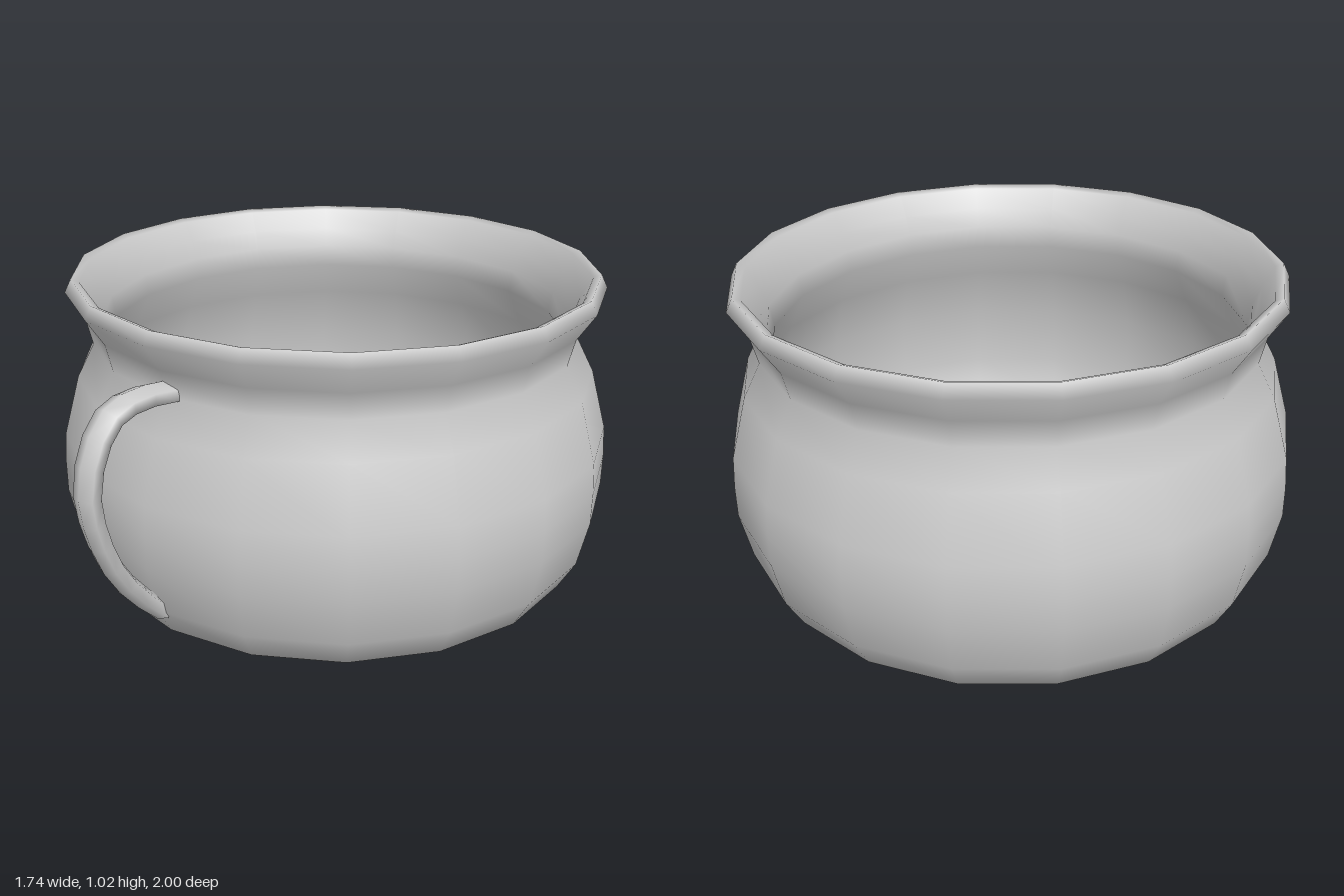
import * as THREE from 'three';

const material = new THREE.MeshStandardMaterial({ color: 0xcccccc });
const POT_Z = -0.115;

// Round pot: floor, belly, neck, flared rim, then back down the inside
function createPot() {
  const profile = [
    [0, 0], [0.69, 0], [0.80, 0.075], [0.853, 0.17], [0.885, 0.32], [0.885, 0.42],
    [0.878, 0.52], [0.825, 0.71], [0.77, 0.815], [0.79, 0.9], [0.845, 0.985],
    [0.825, 1.025], [0.80, 1.015], [0.765, 0.95], [0.74, 0.89], [0.73, 0.82],
    [0.785, 0.7], [0.84, 0.52], [0.845, 0.32], [0.815, 0.18], [0.76, 0.1],
    [0.66, 0.045], [0, 0.04],
  ].map(([r, y]) => new THREE.Vector2(r, y));
  const pot = new THREE.Mesh(new THREE.LatheGeometry(profile, 18), material);
  pot.name = 'pot';
  pot.position.z = POT_Z;
  return pot;
}

// Tapered six-sided handle swept along a curve in the x = 0 plane
function createHandle() {
  const path = new THREE.CatmullRomCurve3([
    [0.83, 0.65], [0.845, 0.78], [0.825, 0.87], [0.745, 0.935], [0.625, 0.965],
    [0.51, 0.945], [0.39, 0.9], [0.27, 0.82], [0.16, 0.715],
  ].map(([y, z]) => new THREE.Vector3(0, y, z)));
  const steps = 12, sides = 6;
  const positions = [], index = [];

  const addRing = (t) => {
    const p = path.getPoint(t), d = path.getTangent(t);
    const halfX = THREE.MathUtils.lerp(0.052, 0.036, t);
    const halfOut = THREE.MathUtils.lerp(0.034, 0.03, t);
    for (let j = 0; j < sides; j++) {
      const a = (j / sides) * Math.PI * 2;
      const out = Math.cos(a) * halfOut;
      // (d.z, -d.y) points away from the pot
      positions.push(Math.sin(a) * halfX, p.y + d.z * out, p.z - d.y * out);
    }
  };

  for (let i = 0; i <= steps; i++) addRing(i / steps);
  for (let i = 0; i < steps; i++) {
    for (let j = 0; j < sides; j++) {
      const a = i * sides + j, b = i * sides + ((j + 1) % sides);
      index.push(a, a + sides, b, b, a + sides, b + sides);
    }
  }
  // End caps on their own rings, so their edges stay sharp
  for (const t of [0, 1]) {
    const base = positions.length / 3;
    addRing(t);
    for (let j = 1; j < sides - 1; j++) {
      if (t === 0) index.push(base, base + j, base + j + 1);
      else index.push(base, base + j + 1, base + j);
    }
  }

  const geometry = new THREE.BufferGeometry();
  geometry.setAttribute('position', new THREE.Float32BufferAttribute(positions, 3));
  geometry.setIndex(index);
  geometry.computeVertexNormals();
  const handle = new THREE.Mesh(geometry, material);
  handle.name = 'handle';
  return handle;
}

export function createModel() {
  const group = new THREE.Group();
  group.name = 'handledPot';
  group.add(createPot(), createHandle());
  return group;
}
